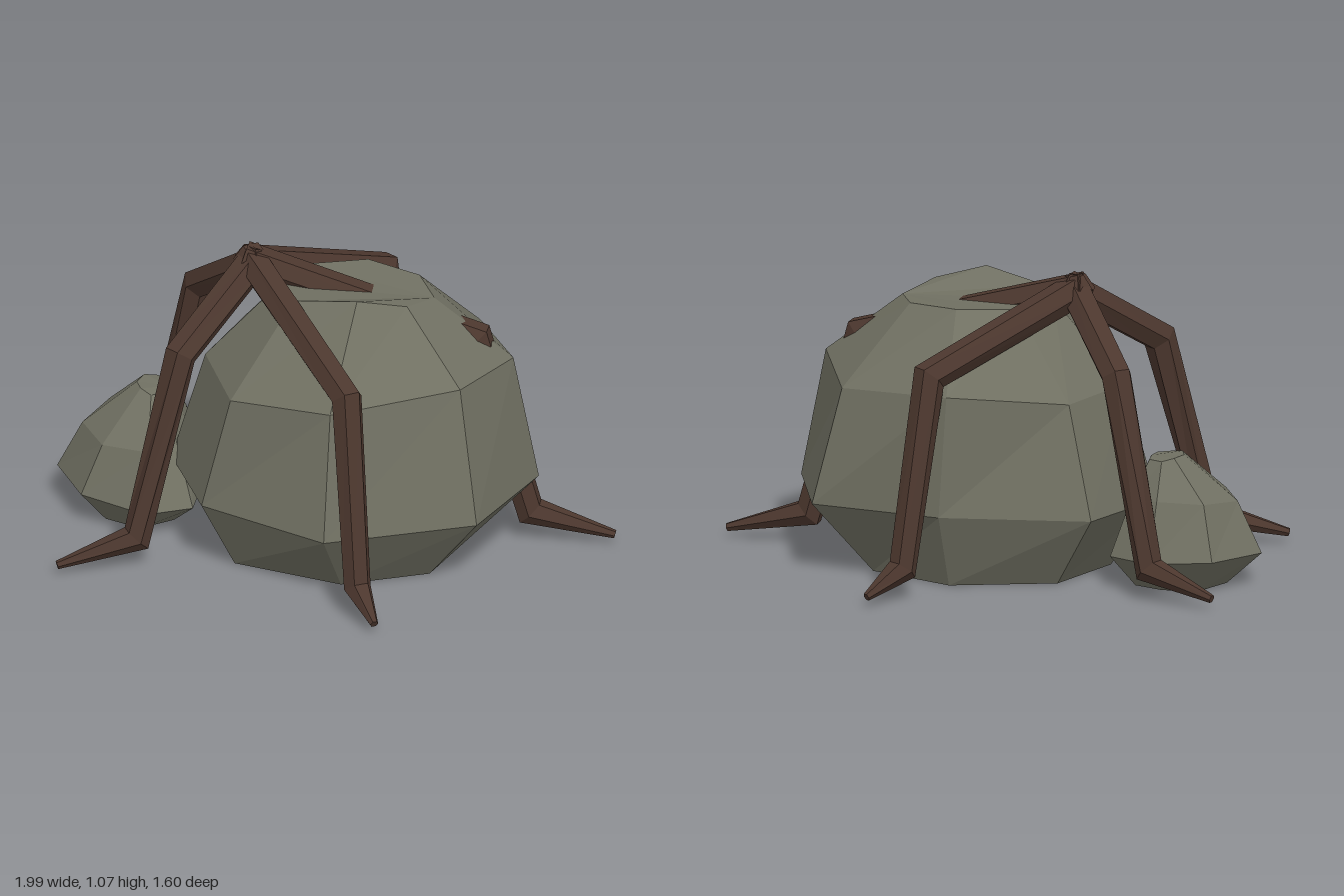
import * as THREE from 'three';

const rockMat = new THREE.MeshStandardMaterial({ name: 'mossy stone', color: 0x707062, flatShading: true });
const rootMat = new THREE.MeshStandardMaterial({ name: 'dark root', color: 0x4c372e, flatShading: true });

// Skins rings of [x, y, z] points (equal counts) and closes both ends with a fan
function loft(rings) {
  const n = rings[0].length;
  const pos = rings.flat(2);
  const index = [];
  for (let r = 0; r < rings.length - 1; r++) {
    for (let i = 0; i < n; i++) {
      const a = r * n + i, b = r * n + (i + 1) % n;
      index.push(a, a + n, b, b, a + n, b + n);
    }
  }
  const last = (rings.length - 1) * n;
  for (let i = 1; i < n - 1; i++) {
    index.push(0, i, i + 1);
    index.push(last, last + i + 1, last + i);
  }
  const g = new THREE.BufferGeometry();
  g.setAttribute('position', new THREE.Float32BufferAttribute(pos, 3));
  g.setIndex(index);
  g.computeVertexNormals();
  return g;
}

// Rings run from +x towards +z, bottom to top
const bigRock = [
  [[.46, 0, 0], [.37, 0, .31], [.07, 0, .43], [-.32, 0, .31], [-.41, 0, 0], [-.3, 0, -.3], [.06, 0, -.43], [.37, 0, -.31]],
  [[.72, .25, 0], [.55, .26, .43], [.03, .25, .61], [-.43, .25, .37], [-.58, .25, 0], [-.45, .26, -.4], [.07, .27, -.53], [.56, .26, -.43]],
  [[.63, .71, 0], [.48, .74, .33], [.04, .7, .5], [-.33, .66, .35], [-.46, .66, 0], [-.35, .66, -.33], [.05, .7, -.5], [.47, .67, -.36]],
  [[.35, .93, 0], [.27, .96, .14], [.1, 1, .2], [-.13, .96, .14], [-.2, .95, 0], [-.12, .95, -.17], [.09, .95, -.23], [.28, .94, -.15]],
];
const smallRock = [
  [[-.53, 0, -.13], [-.57, 0, 0], [-.68, 0, .08], [-.81, 0, .02], [-.87, 0, -.13], [-.81, 0, -.26], [-.68, 0, -.29], [-.57, 0, -.25]],
  [[-.47, .12, -.13], [-.49, .11, .12], [-.65, .11, .19], [-.89, .12, .08], [-1, .12, -.14], [-.88, .13, -.36], [-.66, .12, -.4], [-.5, .12, -.33]],
  [[-.53, .31, -.12], [-.56, .32, .02], [-.65, .31, .1], [-.82, .3, .04], [-.91, .3, -.13], [-.83, .32, -.29], [-.67, .33, -.33], [-.56, .32, -.27]],
  [[-.6, .45, -.15], [-.61, .45, -.1], [-.66, .45, -.07], [-.7, .46, -.1], [-.72, .46, -.15], [-.7, .46, -.21], [-.66, .45, -.23], [-.61, .45, -.21]],
];

// Hexagonal root swept through the joints, mitred in the vertical plane of the leg
function rootLeg(joints, radii) {
  const p = joints.map(j => new THREE.Vector3(...j));
  const out = p[3].clone().sub(p[0]).setY(0).normalize();
  const up = new THREE.Vector3(0, 1, 0);
  const rings = p.map((c, k) => {
    const before = c.clone().sub(p[Math.max(k - 1, 0)]).normalize();
    const after = p[Math.min(k + 1, p.length - 1)].clone().sub(c).normalize();
    const dir = before.clone().add(after).normalize();
    const side = new THREE.Vector3().crossVectors(dir.y < -.9 ? out : dir, up).normalize();
    const normal = new THREE.Vector3().crossVectors(side, dir).normalize();
    const mitre = 1 / Math.max(dir.dot(after.lengthSq() ? after : before), .75);
    return Array.from({ length: 6 }, (_, i) => {
      const a = (i + .5) * Math.PI / 3;
      // angles start at the side, so a flat faces outward
      const u = Math.cos(a + Math.PI / 6) * radii[k];
      const v = Math.sin(a + Math.PI / 6) * radii[k] * mitre;
      return c.clone().addScaledVector(side, -u).addScaledVector(normal, -v).toArray();
    });
  });
  // the loft expects rings that wind clockwise about the sweep direction
  const e1 = new THREE.Vector3(...rings[0][1]).sub(p[0]);
  const e0 = new THREE.Vector3(...rings[0][0]).sub(p[0]);
  const forward = p[1].clone().sub(p[0]);
  if (e0.cross(e1).dot(forward) > 0) rings.forEach(r => r.reverse());
  return loft(rings);
}

export function createModel() {
  const model = new THREE.Group();
  model.name = 'rootedBoulder';
  const add = (name, geometry, material) => {
    const mesh = new THREE.Mesh(geometry, material);
    mesh.name = name;
    model.add(mesh);
  };

  add('largeBoulder', loft(bigRock), rockMat);
  add('smallBoulder', loft(smallRock), rockMat);

  // Knee, ankle and tip of each root; all meet at the crown
  const crown = [-.3, 1.005, -.06];
  const legs = {
    frontLeftRoot: [[.1, .775, .51], [.155, .11, .66], [.23, .035, .79]],
    backLeftRoot: [[.11, .775, -.51], [.165, .11, -.66], [.26, .035, -.79]],
    backRightRoot: [[-.52, .775, -.32], [-.67, .11, -.43], [-.92, .04, -.505]],
    frontRightRoot: [[-.52, .775, .24], [-.66, .11, .37], [-.93, .035, .465]],
    leftRoot: [[.5, .78, 0], [.69, .11, 0], [.99, .035, 0]],
  };
  for (const [name, joints] of Object.entries(legs)) {
    // start slightly behind the crown so the roots interlock
    const dx = joints[0][0] - crown[0], dz = joints[0][2] - crown[2];
    const s = .03 / Math.hypot(dx, dz);
    const start = [crown[0] - dx * s, crown[1] + .012, crown[2] - dz * s];
    add(name, rootLeg([start, ...joints], [.06, .057, .05, .015]), rootMat);
  }
  return model;
}
